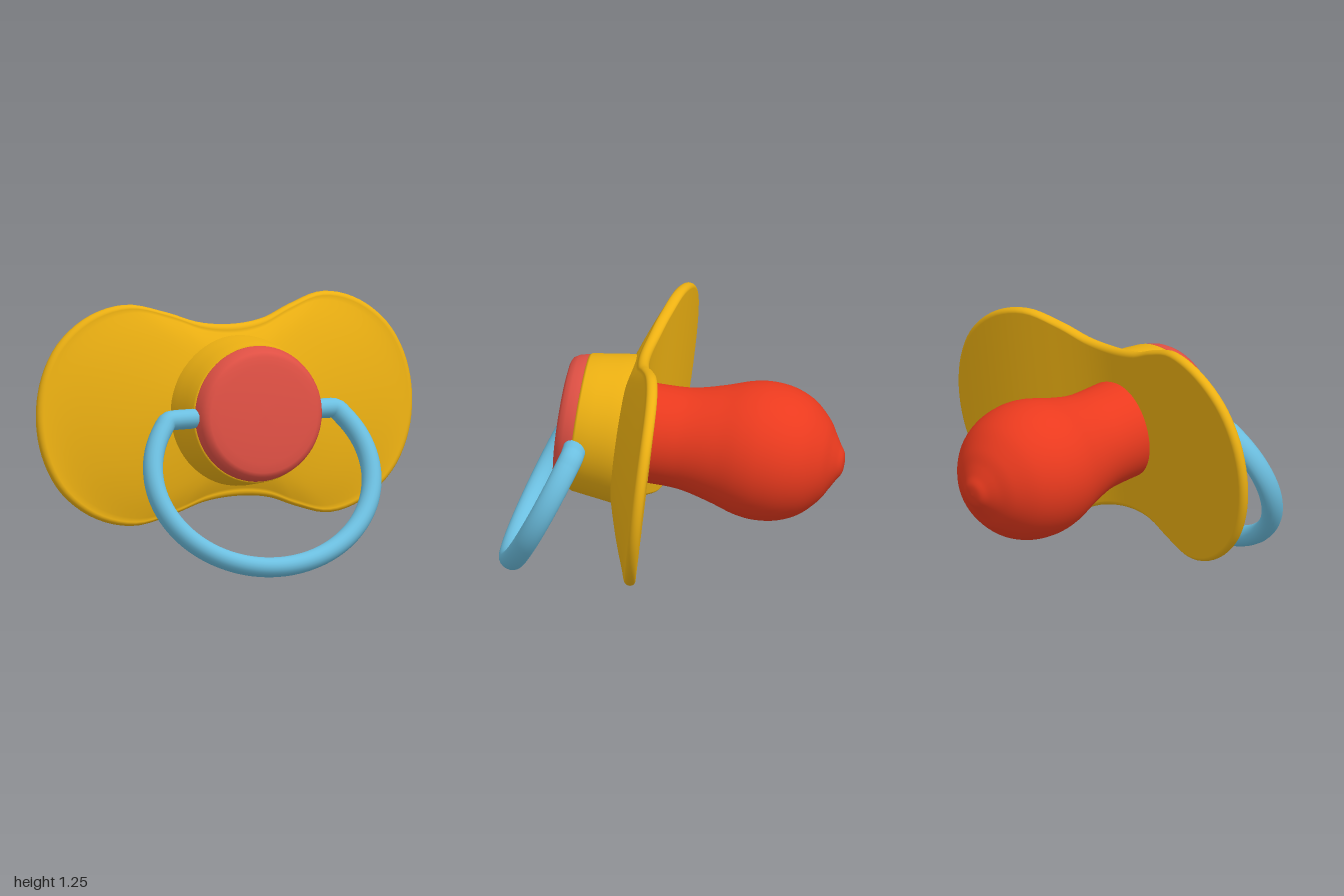
import * as THREE from 'three';
import { ParametricGeometry } from 'three/addons/geometries/ParametricGeometry.js';

const yellow = new THREE.MeshStandardMaterial({ color: 0xecb012 });
const red = new THREE.MeshStandardMaterial({ color: 0xea3a1e });
const paleRed = new THREE.MeshStandardMaterial({ color: 0xdf5044 });
const blue = new THREE.MeshStandardMaterial({ color: 0x6cbfe0 });

function part(name, geometry, material) {
  const mesh = new THREE.Mesh(geometry, material);
  mesh.name = name;
  return mesh;
}

// Round body along z from [radius, z] points, listed back to front
function turned(points, smooth) {
  let profile = points.map(([r, z]) => new THREE.Vector2(r, z));
  if (smooth) {
    profile = new THREE.SplineCurve(profile).getPoints(smooth);
    profile.forEach((p) => { p.x = Math.max(p.x, 0); });
  }
  return new THREE.LatheGeometry(profile, 64).rotateX(Math.PI / 2);
}

// Two-lobed plate: bowed back, shallow cone in front, thin rounded rim
function shieldGeometry() {
  const quarter = [[1, 0], [0.968, 0.2], [0.875, 0.37], [0.71, 0.497], [0.52, 0.543], [0.33, 0.497], [0.17, 0.44], [0, 0.422]];
  const half = [...quarter, ...quarter.slice(1, -1).reverse().map(([x, y]) => [-x, y])];
  const loop = [...half, ...half.map(([x, y]) => [-x, -y])];
  const outline = new THREE.CatmullRomCurve3(loop.map(([x, y]) => new THREE.Vector3(x, y, 0)), true);
  const rim = 0.028;
  const edge = new THREE.Vector3();
  return new ParametricGeometry((u, v, target) => {
    outline.getPoint(u % 1, edge);
    // v runs from the back centre, around the rim, to the front centre
    const a = THREE.MathUtils.clamp((v - 0.35) / 0.3, 0, 1) * Math.PI;
    const inner = Math.min(1, v / 0.35, (1 - v) / 0.35);
    const s = inner * (1 - rim * (1 - Math.sin(a)) / edge.length());
    const x = edge.x * s;
    const y = edge.y * s;
    const bow = 0.048 + 0.135 * Math.exp(-((x / 0.5) ** 2));
    let z = bow - rim * Math.cos(a);
    if (v > 0.65) {
      const cone = 0.245 - 0.28 * (Math.max(Math.hypot(x, y), 0.35) - 0.37);
      z = THREE.MathUtils.lerp(cone, z, inner ** 8);
    }
    target.set(x, y, z);
  }, 128, 80);
}

// Pull ring: an elliptical arc whose ends turn inward to the housing
function ringGeometry() {
  const points = [];
  const start = Math.asin(0.3 / 0.475);
  const n = 40;
  for (let i = 0; i <= n; i++) {
    const a = start - (i / n) * (Math.PI + 2 * start);
    points.push(new THREE.Vector3(0.575 * Math.cos(a), -0.3 + 0.475 * Math.sin(a), 0));
  }
  const end = [0.29, 0.34, 0.4].map((x) => new THREE.Vector3(x, 0.005, 0));
  const path = [...end, ...points, ...end.map((p) => new THREE.Vector3(-p.x, p.y, 0)).reverse()];
  // The band is a little deeper than it is wide
  return new THREE.TubeGeometry(new THREE.CatmullRomCurve3(path), 160, 0.048, 20, false).scale(1, 1, 1.2);
}

export function createModel() {
  const model = new THREE.Group();
  model.name = 'pacifier';

  // Body leans back slightly, with a little turn and roll
  const body = new THREE.Group();
  body.name = 'body';
  body.position.y = 0.697;
  body.rotation.set(-0.113, -0.024, -0.018);
  model.add(body);

  body.add(part('shield', shieldGeometry(), yellow));

  // Housing tapers forward from the shield
  body.add(part('housing', turned([
    [0.37, 0.2], [0.368, 0.25], [0.361, 0.3], [0.35, 0.38], [0.34, 0.45], [0.332, 0.462], [0.28, 0.462],
  ]), yellow));

  // Cap with a sloping rim and a slightly domed face
  body.add(part('cap', turned([
    [0.3, 0.45], [0.332, 0.455], [0.333, 0.468], [0.322, 0.51], [0.306, 0.536], [0.285, 0.546],
    [0.24, 0.552], [0.16, 0.558], [0.08, 0.561], [0, 0.562],
  ]), paleRed));

  // Teat with a full bulb and a small nub at the tip
  body.add(part('teat', turned([
    [0, -0.852], [0.05, -0.845], [0.09, -0.82], [0.135, -0.793], [0.205, -0.748], [0.284, -0.663], [0.329, -0.56],
    [0.342, -0.45], [0.329, -0.35], [0.291, -0.23], [0.257, -0.1], [0.246, 0], [0.245, 0.18],
  ], 72), red));

  // Ring hangs forward from the sides of the housing
  const ring = part('pullRing', ringGeometry(), blue);
  ring.position.set(-0.035, 0.742, 0.442);
  ring.rotation.set(-0.467, -0.022, -0.018);
  model.add(ring);

  return model;
}
